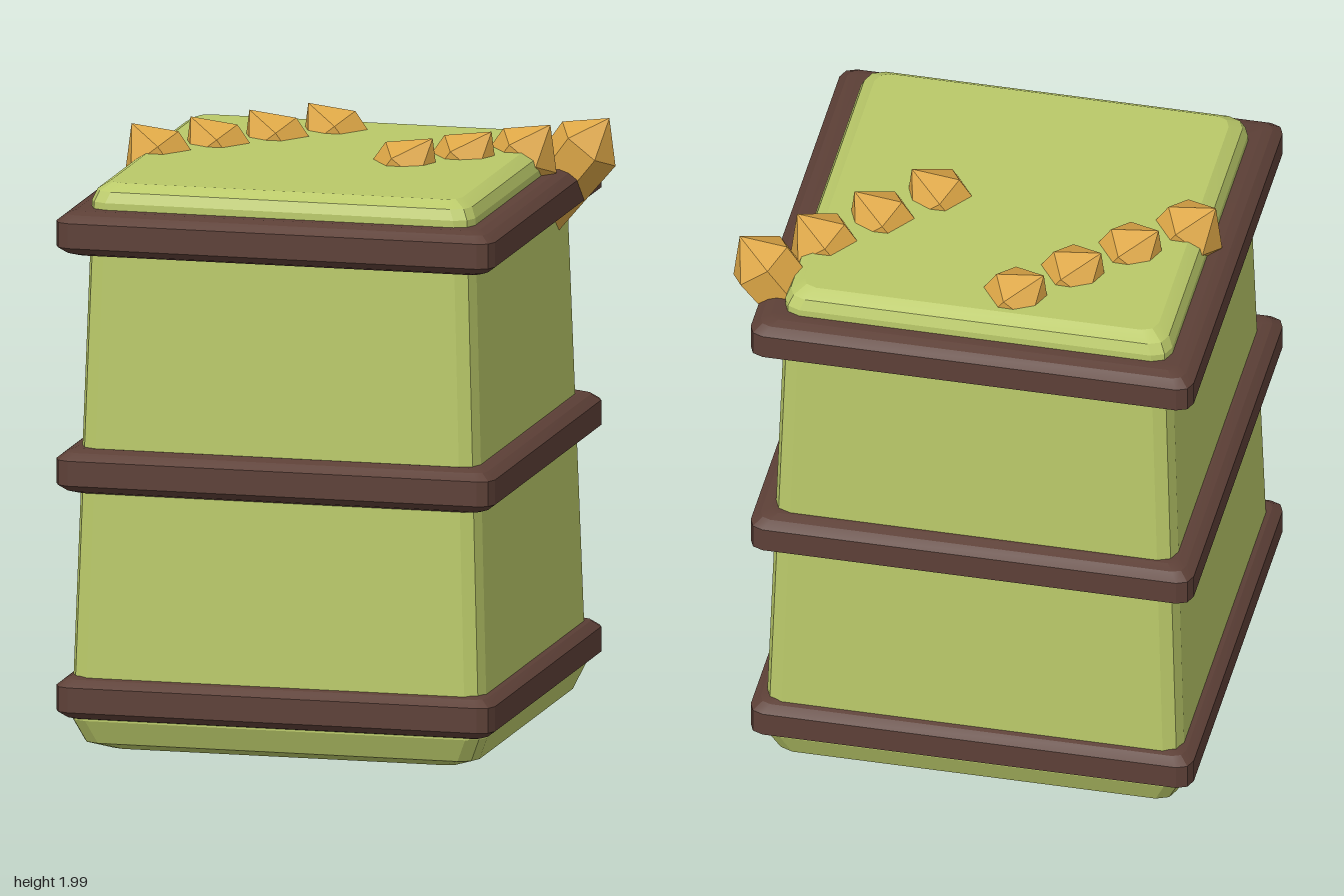
import * as THREE from 'three';
import { toCreasedNormals } from 'three/addons/utils/BufferGeometryUtils.js';

const CX = -0.055; // the block sits slightly off centre because one crystal sticks out

// Square cross-section with rounded corners, counter-clockwise seen from above
function ring(y, half, corner) {
  const pts = [];
  for (let q = 0; q < 4; q++) {
    for (let i = 0; i <= 2; i++) {
      const a = (q + i / 2) * Math.PI / 2;
      const ox = [1, -1, -1, 1][q], oz = [1, 1, -1, -1][q];
      pts.push([ox * (half - corner) + Math.cos(a) * corner, y, -oz * (half - corner) - Math.sin(a) * corner]);
    }
  }
  return pts;
}

// Solid lofted through [y, half width, corner radius] levels, bottom to top
function loft(levels) {
  const pos = [], idx = [], n = 12;
  levels.forEach(l => ring(...l).forEach(p => pos.push(...p)));
  for (let l = 0; l < levels.length - 1; l++) {
    for (let i = 0; i < n; i++) {
      const a = l * n + i, b = l * n + (i + 1) % n;
      idx.push(a, b, b + n, a, b + n, a + n);
    }
  }
  const top = (levels.length - 1) * n;
  for (let i = 1; i < n - 1; i++) {
    idx.push(0, i + 1, i);
    idx.push(top, top + i, top + i + 1);
  }
  const g = new THREE.BufferGeometry();
  g.setAttribute('position', new THREE.Float32BufferAttribute(pos, 3));
  g.setIndex(idx);
  return toCreasedNormals(g, 0.3);
}

export function createModel() {
  const green = new THREE.MeshStandardMaterial({ color: 0xbac969 });
  green.name = 'green';
  const brown = new THREE.MeshStandardMaterial({ color: 0x5d4037 });
  brown.name = 'brown';
  const gold = new THREE.MeshStandardMaterial({ color: 0xdca646 });
  gold.name = 'gold';

  const model = new THREE.Group();
  model.name = 'bandedBlock';
  const add = (name, geometry, material, x, y, z) => {
    const mesh = new THREE.Mesh(geometry, material);
    mesh.name = name;
    mesh.position.set(x, y, z);
    model.add(mesh);
    return mesh;
  };

  // Tapered body with bevelled ends
  add('body', loft([
    [0.01, 0.6, 0.05], [0.04, 0.675, 0.06], [0.12, 0.71, 0.06],
    [1.86, 0.655, 0.06], [1.895, 0.64, 0.06], [1.92, 0.6, 0.05],
  ]), green, CX, 0, 0);

  // Three bands around the body
  const band = loft([
    [-0.075, 0.69, 0.03], [-0.065, 0.72, 0.04], [-0.042, 0.75, 0.05],
    [0.042, 0.75, 0.05], [0.065, 0.72, 0.04], [0.075, 0.69, 0.03],
  ]);
  [['lowerBand', 0.195], ['middleBand', 0.96], ['upperBand', 1.762]]
    .forEach(([name, y]) => add(name, band, brown, CX, y, 0));

  // Two diagonal rows of six-sided crystals leaning outwards
  const profile = [[0, -0.4], [0.1, -0.33], [0.115, 0], [0, 0.114]].map(p => new THREE.Vector2(...p));
  const crystal = new THREE.LatheGeometry(profile, 6, Math.PI / 2).toNonIndexed();
  crystal.computeVertexNormals();
  for (let k = 0; k < 4; k++) {
    add('leftCrystal', crystal, gold, 0.71 - 0.16 * k, 1.91, -0.48 + 0.16 * k).rotation.z = -0.66;
    add('rightCrystal', crystal, gold, -0.66 + 0.16 * k, 1.91, -0.16 * k).rotation.z = 0.66;
  }
  return model;
}
